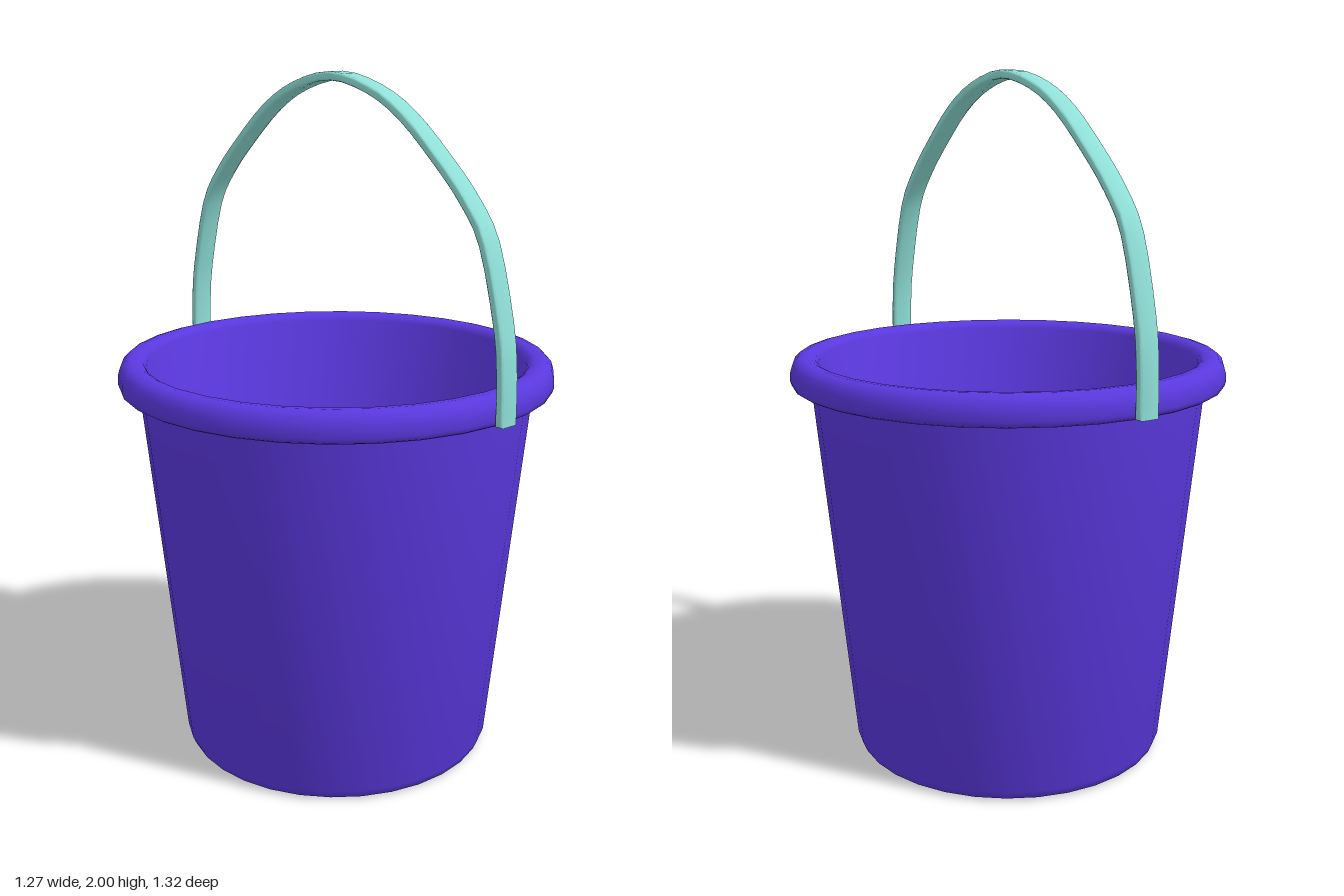
import * as THREE from 'three';
import { toCreasedNormals } from 'three/addons/utils/BufferGeometryUtils.js';

const toVectors = (list) => list.map(([a, b]) => new THREE.Vector2(a, b));

// Surface of revolution, smooth except across sharp edges
function lathe(name, profile, material) {
  const geometry = toCreasedNormals(new THREE.LatheGeometry(toVectors(profile), 32), 0.9);
  const mesh = new THREE.Mesh(geometry, material);
  mesh.name = name;
  return mesh;
}

// Flat band that arches over the bucket from front to back
function createHandle(material) {
  const half = [
    [0.648, 1.125], [0.646, 1.25], [0.63, 1.38], [0.573, 1.585],
    [0.5, 1.692], [0.4, 1.79], [0.275, 1.893], [0.15, 1.957],
  ];
  const path = new THREE.SplineCurve(toVectors([
    ...half, [0, 1.988], ...half.map(([z, y]) => [-z, y]).reverse(),
  ]));
  const bevel = 0.006, halfThickness = 0.012, width = 0.062, steps = 48;
  const outer = [], inner = [];
  for (let i = 0; i <= steps; i++) {
    const p = path.getPoint(i / steps);
    const t = path.getTangent(i / steps);
    const normal = new THREE.Vector2(t.y, -t.x).multiplyScalar(halfThickness - bevel);
    outer.push(p.clone().add(normal));
    inner.push(p.clone().sub(normal));
  }
  const geometry = new THREE.ExtrudeGeometry(new THREE.Shape([...outer, ...inner.reverse()]), {
    depth: width - 2 * bevel, bevelEnabled: true,
    bevelSize: bevel, bevelThickness: bevel, bevelSegments: 2,
  });
  geometry.translate(0, 0, -width / 2 + bevel);
  geometry.rotateY(Math.PI / 2);
  const mesh = new THREE.Mesh(toCreasedNormals(geometry, 0.9), material);
  mesh.name = 'handle';
  return mesh;
}

export function createModel() {
  const purple = new THREE.MeshStandardMaterial({ color: 0x5a38de });
  const mint = new THREE.MeshStandardMaterial({ color: 0x8fe0d8 });
  const bucket = new THREE.Group();
  bucket.name = 'bucket';

  // Tapered shell: underside, outer wall, rolled rim, inner wall, floor
  bucket.add(lathe('bucketBody', [
    [0, 0], [0.44, 0], [0.457, 0.007], [0.467, 0.03],
    [0.576, 1.115],
    [0.622, 1.115], [0.631, 1.12], [0.635, 1.132],
    [0.634, 1.16], [0.627, 1.182], [0.614, 1.195], [0.597, 1.2],
    [0.575, 1.198], [0.562, 1.191], [0.555, 1.178],
    [0.442, 0.06], [0.436, 0.042], [0.42, 0.034], [0, 0.034],
  ], purple));

  bucket.add(createHandle(mint));
  return bucket;
}
